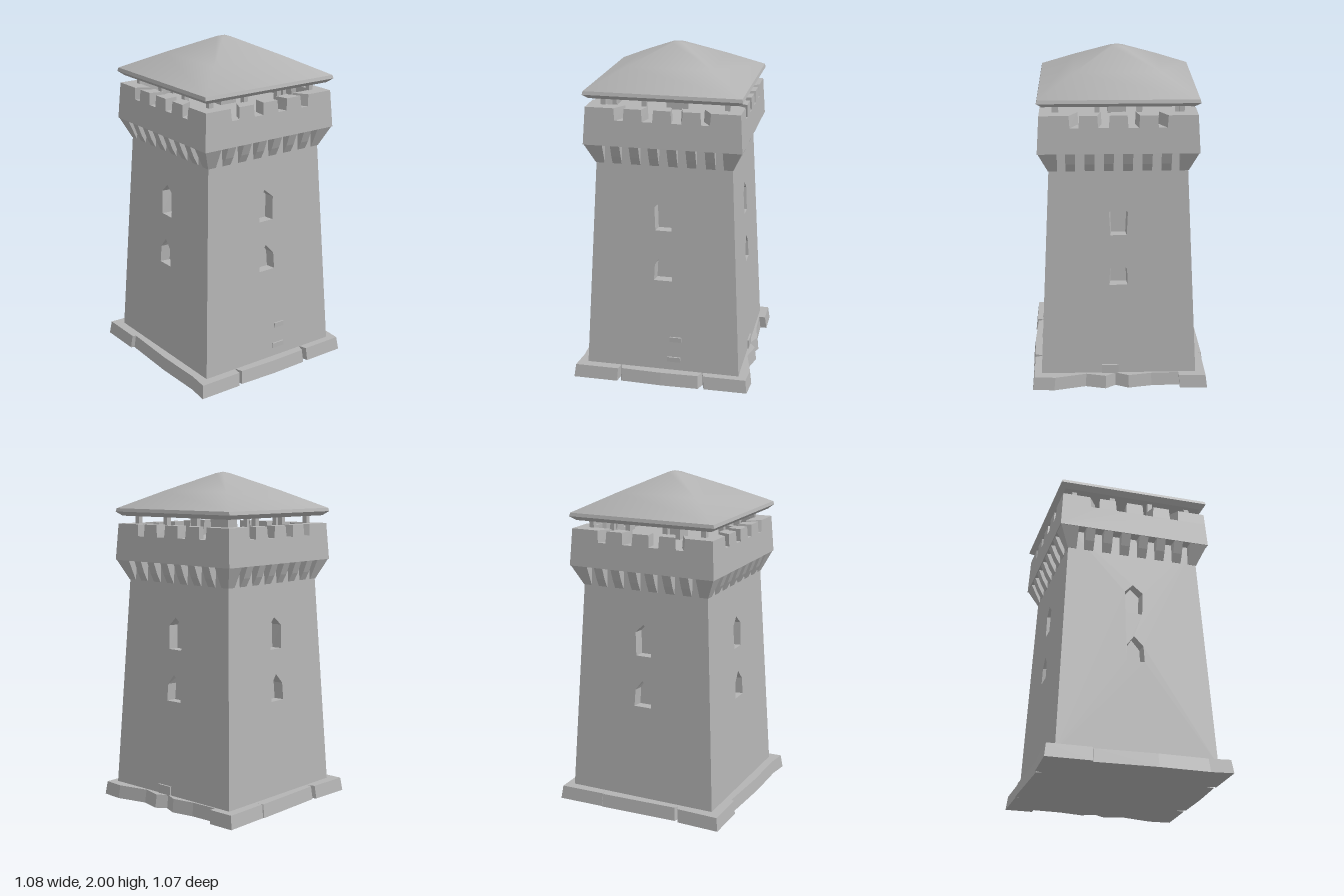
import * as THREE from 'three';
import { toCreasedNormals } from 'three/addons/utils/BufferGeometryUtils.js';

export function createModel() {
  const tower = new THREE.Group();
  tower.name = 'watchtower';
  const stone = new THREE.MeshStandardMaterial({ color: 0xb4b4b4 });
  stone.name = 'grey stone';

  const add = (name, geometry, parent = tower) => {
    const mesh = new THREE.Mesh(geometry, stone);
    mesh.name = name;
    parent.add(mesh);
    return mesh;
  };
  const box = (name, w, h, d, x, y, z, parent) => {
    const mesh = add(name, new THREE.BoxGeometry(w, h, d), parent);
    mesh.position.set(x, y, z);
    return mesh;
  };
  const shapeOf = (points) => new THREE.Shape(points.map(([x, y]) => new THREE.Vector2(x, y)));
  const move = (geometry, rule) => {
    const p = geometry.attributes.position;
    const v = new THREE.Vector3();
    for (let i = 0; i < p.count; i++) {
      rule(v.fromBufferAttribute(p, i));
      p.setXYZ(i, v.x, v.y, v.z);
    }
    geometry.computeVertexNormals();
    return geometry;
  };
  // Leaning wall panel with mitred ends, so four of them close a square
  const panel = (shape, thickness, halfAt) => move(
    new THREE.ExtrudeGeometry(shape, { depth: thickness, bevelEnabled: false }),
    (v) => {
      const half = halfAt(v.y);
      const inner = half - (thickness - v.z);
      v.x *= inner / half;
      v.z = inner;
    });
  const square = (profile) => toCreasedNormals(new THREE.LatheGeometry(
    profile.map(([half, y]) => new THREE.Vector2(half * Math.SQRT2, y)), 4, Math.PI / 4), 0.75);

  // Worn plinth slab with notches between its blocks
  const outline = [
    [-0.54, 0.53], [-0.27, 0.53], [-0.26, 0.47], [-0.245, 0.522], [0, 0.53], [0.23, 0.525],
    [0.25, 0.47], [0.265, 0.522], [0.525, 0.52], [0.535, 0.39], [0.49, 0.2], [0.52, 0.08],
    [0.48, 0.02], [0.515, -0.06], [0.49, -0.2], [0.485, -0.37], [0.525, -0.37], [0.525, -0.535],
    [0.24, -0.53], [0.25, -0.49], [0.235, -0.535], [-0.25, -0.52], [-0.26, -0.49], [-0.275, -0.53],
    [-0.535, -0.54], [-0.535, -0.275], [-0.515, -0.265], [-0.53, 0.1], [-0.525, 0.4],
  ];
  const slab = new THREE.ExtrudeGeometry(shapeOf(outline.map(([x, z]) => [x, -z])),
    { depth: 0.08, bevelEnabled: false });
  slab.rotateX(-Math.PI / 2);
  add('plinth', move(slab, (v) => {
    if (v.y > 0.04) { v.x *= 0.98; v.z *= 0.98; }
  }));

  // Solid core behind the window niches
  const wallHalf = (y) => 0.467 - 0.052 * (y - 0.07);
  add('core', square([[wallHalf(0.06) - 0.06, 0.06], [wallHalf(1.5) - 0.06, 1.5]]));

  // Outer wall with two pointed windows
  const bottom = 0.06, top = 1.49;
  const wall = shapeOf([[-wallHalf(bottom), bottom], [wallHalf(bottom), bottom],
    [wallHalf(top), top], [-wallHalf(top), top]]);
  const windowHole = (sill, shoulder, peak, wide, narrow) => wall.holes.push(new THREE.Path(
    [[-wide, sill], [-narrow, shoulder], [-0.005, peak], [narrow, shoulder], [wide, sill]]
      .map(([x, y]) => new THREE.Vector2(x, y))));
  windowHole(0.65, 0.75, 0.81, 0.055, 0.05);
  windowHole(0.96, 1.1, 1.15, 0.048, 0.055);

  // Parapet outline with three merlons between the corner ones
  const parapetHalf = (y) => 0.462 - 0.065 * (y - 1.47);
  const sillY = 1.62, merlonY = 1.69;
  const crest = [[-parapetHalf(1.47), 1.47], [parapetHalf(1.47), 1.47],
    [parapetHalf(sillY), sillY], [parapetHalf(merlonY), merlonY], [0.28, merlonY], [0.275, sillY]];
  for (const x of [0.17, 0, -0.17]) {
    crest.push([x + 0.055, sillY], [x + 0.05, merlonY], [x - 0.05, merlonY], [x - 0.055, sillY]);
  }
  crest.push([-0.275, sillY], [-0.28, merlonY], [-parapetHalf(merlonY), merlonY],
    [-parapetHalf(sillY), sillY]);
  const parapet = shapeOf(crest);

  // Wedge-shaped bracket seen from the side
  const bracket = new THREE.ExtrudeGeometry(
    shapeOf([[0.37, 1.35], [0.403, 1.35], [0.43, 1.4], [0.459, 1.475], [0.37, 1.475]]),
    { depth: 0.055, bevelEnabled: false });
  bracket.translate(0, 0, -0.0275).rotateY(-Math.PI / 2);

  // Bracket wrapping a corner
  const cornerBracket = move(new THREE.BoxGeometry(0.11, 0.125, 0.11).translate(0.405, 1.4125, 0.405), (v) => {
    const outer = v.y > 1.4 ? 0.46 : 0.403;
    if (v.x > 0.4) v.x = outer;
    if (v.z > 0.4) v.z = outer;
  });

  for (let side = 0; side < 4; side++) {
    const face = new THREE.Group();
    face.name = 'towerSide' + (side + 1);
    face.rotation.y = side * Math.PI / 2;
    tower.add(face);
    add('wall', panel(wall, 0.06, wallHalf), face);
    add('parapet', panel(parapet, 0.08, parapetHalf), face);
    for (let i = 0; i < 6; i++) add('bracket', bracket, face).position.x = (i - 2.5) * 0.11;
    add('cornerBracket', cornerBracket, face);
    // Roof posts, standing just inside the parapet
    for (const x of [-0.36, -0.12, 0.12]) box('roofPost', 0.03, 0.22, 0.03, x, 1.67, 0.36, face);
  }

  // Deck and central pillar under the roof
  box('deck', 0.78, 0.06, 0.78, 0, 1.565, 0);
  box('centralPillar', 0.11, 0.22, 0.11, -0.005, 1.68, 0);

  // Low pyramid roof with a thick rounded eave
  add('roof', square([[0, 1.79], [0.4, 1.752], [0.43, 1.737], [0.46, 1.762], [0.455, 1.782],
    [0.25, 1.887], [0.03, 1.992], [0, 2]]));

  // Stones standing slightly proud of the walls
  box('looseStone', 0.07, 0.03, 0.02, 0.08, 0.28, 0.455);
  box('looseStone', 0.08, 0.03, 0.02, 0.07, 0.15, 0.462);
  box('looseStone', 0.02, 0.06, 0.1, 0.464, 0.105, 0.05);

  return tower;
}
